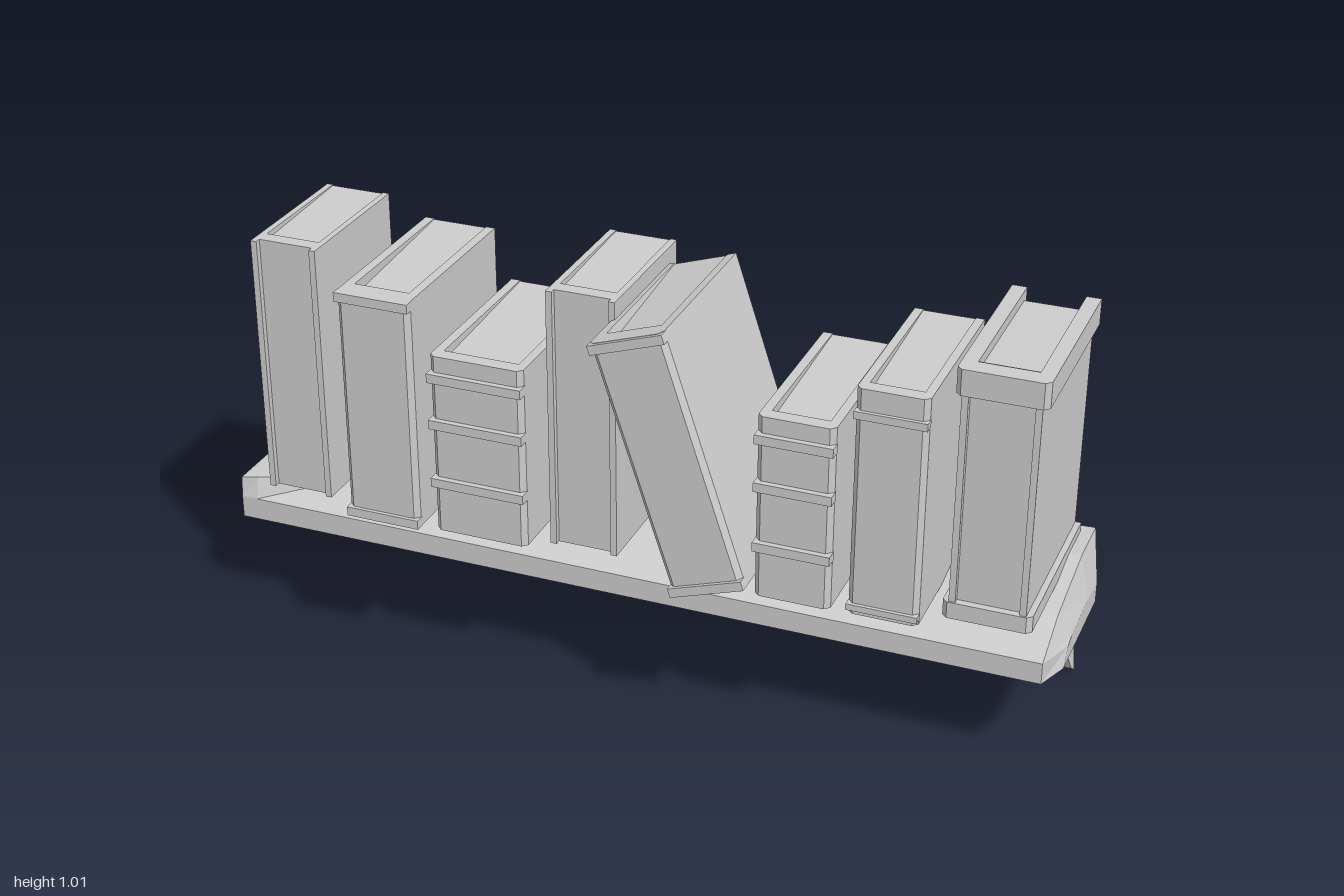
import * as THREE from 'three';

const mat = new THREE.MeshStandardMaterial({ color: 0xcccccc, flatShading: true });
const matDouble = new THREE.MeshStandardMaterial({ color: 0xcccccc, flatShading: true, side: THREE.DoubleSide });

function add(parent, name, geometry, material = mat) {
  const mesh = new THREE.Mesh(geometry, material);
  mesh.name = name;
  parent.add(mesh);
  return mesh;
}

// Axis-aligned box from its limits
function box(parent, name, x0, x1, y0, y1, z0, z1) {
  const mesh = add(parent, name, new THREE.BoxGeometry(x1 - x0, y1 - y0, z1 - z0));
  mesh.position.set((x0 + x1) / 2, (y0 + y1) / 2, (z0 + z1) / 2);
  return mesh;
}

// U-shaped cover in plan: two boards joined by a spine with bevelled corners
function coverGeometry(hw, h, back, front, t, spine) {
  const c = 0.012;
  const pts = [
    [-hw, back], [-hw, front - c], [-hw + c, front], [hw - c, front], [hw, front - c], [hw, back],
    [hw - t, back], [hw - t, front - spine], [-hw + t, front - spine], [-hw + t, back],
  ].map(([x, z]) => new THREE.Vector2(x, -z));
  const g = new THREE.ExtrudeGeometry(new THREE.Shape(pts), { depth: h, bevelEnabled: false });
  g.rotateX(-Math.PI / 2);
  return g.translate(0, -h / 2, 0);
}

// A book: cover, page block dipping towards the spine, hinges, bands and collars
function makeBook(name, o) {
  const book = new THREE.Group();
  book.name = name;
  const { w, h, back, front, t = 0.02, spine = 0.035, recess = 0.02, pageBack = 0.001 } = o;
  const hw = w / 2, hh = h / 2;
  add(book, 'cover', coverGeometry(hw, h, back, front, t, spine));
  const pages = box(book, 'pages', -hw + t, hw - t, -hh + 0.002, hh - 0.002, back + pageBack, front - spine);
  const p = pages.geometry.attributes.position;
  for (let i = 0; i < p.count; i++) {
    if (p.getY(i) > 0 && (p.getZ(i) > 0 || o.caps)) p.setY(i, p.getY(i) - recess);
  }
  // raised hinge strips down both edges of the spine
  if (o.hinges) {
    for (const s of [-1, 1]) {
      const x = s * (hw - 0.0075);
      box(book, 'hinge', x - 0.0075, x + 0.0075, -hh, hh, front - 0.02, front + 0.014);
    }
  }
  // raised bands across the spine, given as heights above the book's foot
  for (const [y, bandH, out] of o.bands || []) {
    box(book, 'spineBand', -hw - 0.001, hw + 0.001, y - hh - bandH / 2, y - hh + bandH / 2, front - 0.015, front + out);
  }
  // wider collars round the top and foot, given as lower edge and height
  for (const [y, capH] of o.caps || []) {
    const collar = add(book, 'collar', coverGeometry(hw + 0.014, capH, back, front + 0.018, 0.034, 0.047));
    collar.position.y = y + capH / 2 - hh;
  }
  book.position.set(o.x, o.y + hh, 0);
  book.rotation.z = o.tilt || 0;
  return book;
}

// Rough-hewn plank lofted through cross-sections of [z, y] points
function plankGeometry() {
  const sections = [
    [-1, [0.18, 0.25], [0.18, 0.305], [0.175, 0.355], [-0.1, 0.355], [-0.27, 0.34], [-0.285, 0.25]],
    [-0.96, [0.18, 0.25], [0.18, 0.305], [0.165, 0.357], [-0.1, 0.358], [-0.28, 0.358], [-0.295, 0.25]],
    [-0.72, [0.18, 0.25], [0.18, 0.305], [0.05, 0.355], [-0.1, 0.357], [-0.28, 0.36], [-0.345, 0.25]],
    [0.47, [0.18, 0.25], [0.18, 0.302], [0.05, 0.357], [-0.1, 0.37], [-0.28, 0.375], [-0.345, 0.25]],
    [0.97, [0.18, 0.25], [0.18, 0.302], [0.06, 0.357], [-0.15, 0.395], [-0.28, 0.395], [-0.285, 0.25]],
    [1, [0.1, 0.25], [0.07, 0.29], [0.04, 0.3], [-0.1, 0.31], [-0.2, 0.3], [-0.2, 0.25]],
  ];
  const n = 6, last = (sections.length - 1) * n;
  const pos = [], idx = [];
  for (const [x, ...ring] of sections) for (const [z, y] of ring) pos.push(x, y, z);
  for (let i = 0; i < sections.length - 1; i++) {
    for (let k = 0; k < n; k++) {
      const a = i * n + k, b = i * n + (k + 1) % n;
      idx.push(a, a + n, b + n, a, b + n, b);
    }
  }
  for (let k = 1; k < n - 1; k++) {
    idx.push(0, k, k + 1, last, last + k + 1, last + k);
  }
  const g = new THREE.BufferGeometry();
  g.setAttribute('position', new THREE.Float32BufferAttribute(pos, 3));
  g.setIndex(idx);
  g.computeVertexNormals();
  return g;
}

// Clawed leg: side profile extruded across, then flared by height
function legGeometry() {
  const profile = [
    [-0.125, 0.26], [-0.125, 0.18], [-0.145, 0.178], [-0.17, 0.155], [-0.185, 0.13], [-0.205, 0.095],
    [-0.24, 0.06], [-0.265, 0.015], [-0.285, 0.002], [-0.285, 0.1], [-0.275, 0.2], [-0.28, 0.26],
  ].map(([z, y]) => new THREE.Vector2(-z, y));
  const g = new THREE.ExtrudeGeometry(new THREE.Shape(profile), { depth: 1, bevelEnabled: false });
  g.translate(0, 0, -0.5).rotateY(Math.PI / 2);
  const p = g.attributes.position;
  for (let i = 0; i < p.count; i++) {
    const y = p.getY(i), z = p.getZ(i);
    let width = y < 0.1 ? 0.094 - y * 0.3 : 0.064 + Math.abs(y - 0.15) * 0.1;
    if (z > -0.15) width *= 0.75;
    p.setX(i, p.getX(i) * width);
  }
  g.computeVertexNormals();
  return g;
}

export function createModel() {
  const model = new THREE.Group();
  model.name = 'bookShelf';

  // Shelf
  add(model, 'plank', plankGeometry());
  const rail = new THREE.Shape([
    [-0.9, 0.255], [-0.9, 0.205], [-0.4, 0.2], [0.89, 0.2], [0.89, 0.255],
  ].map(([x, y]) => new THREE.Vector2(x, y)));
  add(model, 'backRail', new THREE.ExtrudeGeometry(rail, { depth: 0.025, bevelEnabled: false }))
    .position.z = -0.302;
  for (const [name, x] of [['rightLeg', -0.93], ['leftLeg', 0.903]]) {
    const leg = new THREE.Group();
    leg.name = name;
    add(leg, 'claw', legGeometry(), matDouble);
    box(leg, 'bracket', -0.035, 0.035, 0.2, 0.255, -0.29, -0.125);
    leg.position.x = x;
    model.add(leg);
  }

  // Books, from the model's right to its left
  const plain = { w: 0.163, h: 0.63, y: 0.37, back: -0.155, front: 0.194, t: 0.015, recess: 0.012, hinges: true };
  const framed = { w: 0.177, h: 0.56, y: 0.417, back: -0.11, front: 0.333, t: 0.022, spine: 0.05, recess: 0.025,
    bands: [[0.012, 0.022, 0.009], [0.549, 0.022, 0.009]] };
  const banded = { w: 0.225, h: 0.44, y: 0.397, back: -0.148, front: 0.29, t: 0.022, spine: 0.035, recess: 0.02,
    bands: [[0.39, 0.022, 0.014], [0.275, 0.022, 0.014], [0.128, 0.022, 0.014]] };
  const books = [
    { ...plain, x: -0.82 },
    { ...framed, x: -0.532 },
    { ...banded, x: -0.31 },
    { ...plain, x: -0.093 },
    { ...framed, x: 0.16, y: 0.39, h: 0.61, tilt: 0.32, bands: [[0.012, 0.022, 0.009], [0.598, 0.022, 0.009]] },
    { ...banded, x: 0.432, w: 0.174 },
    { x: 0.62, w: 0.16, h: 0.55, y: 0.36, back: -0.195, front: 0.227, recess: 0.02,
      bands: [[0.02, 0.015, 0.009], [0.49, 0.018, 0.009]] },
    { x: 0.841, w: 0.172, h: 0.596, y: 0.377, back: -0.255, front: 0.172, recess: 0.02, pageBack: 0.02,
      hinges: true, caps: [[-0.002, 0.04], [0.537, 0.061]] },
  ];
  books.forEach((o, i) => model.add(makeBook('book' + (i + 1), o)));

  return model;
}
